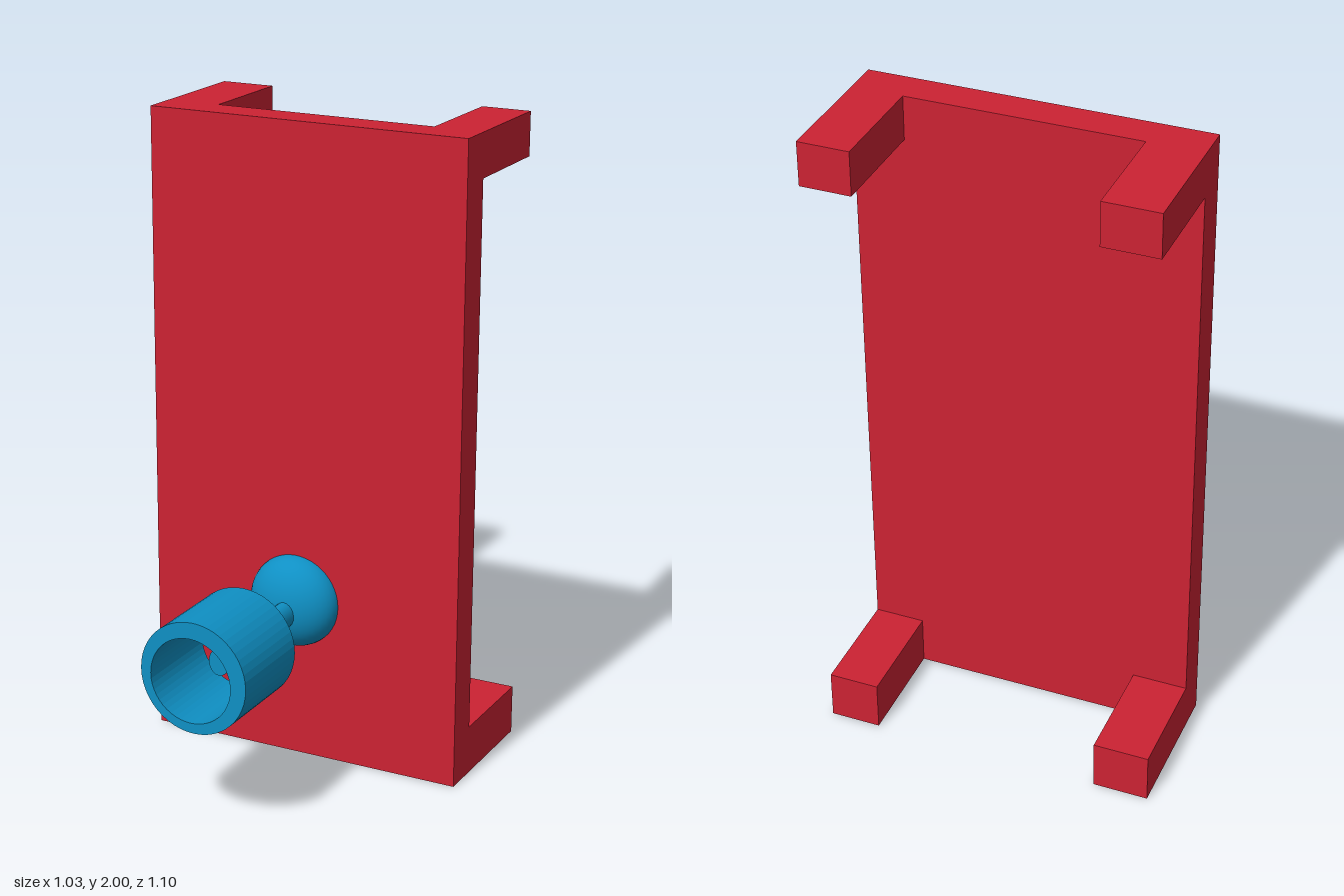
import * as THREE from 'three';

export function createModel() {
  const model = new THREE.Group();
  const red = new THREE.MeshStandardMaterial({ color: 0xcc2233 });
  const blue = new THREE.MeshStandardMaterial({ color: 0x0f90c4 });
  const blueFlat = new THREE.MeshStandardMaterial({ color: 0x0f90c4, flatShading: true });

  function add(name, geometry, material, x, y, z) {
    const mesh = new THREE.Mesh(geometry, material);
    mesh.name = name;
    mesh.position.set(x, y, z);
    model.add(mesh);
    return mesh;
  }

  // Box given by its limits on each axis
  function box(name, [x0, x1], [y0, y1], [z0, z1]) {
    add(name, new THREE.BoxGeometry(x1 - x0, y1 - y0, z1 - z0), red,
      (x0 + x1) / 2, (y0 + y1) / 2, (z0 + z1) / 2);
  }

  // Back plate with a bracket arm at each corner
  box('plate', [-0.515, 0.515], [0, 2], [-0.21, -0.1]);
  for (const [side, xs] of [['Right', [-0.515, -0.345]], ['Left', [0.36, 0.515]]]) {
    box('lower' + side + 'Arm', xs, [0, 0.155], [-0.55, -0.21]);
    box('upper' + side + 'Arm', xs, [1.865, 2], [-0.55, -0.21]);
  }

  // Flattened dome on the plate
  const dome = new THREE.SphereGeometry(1, 40, 24);
  dome.scale(0.146, 0.146, 0.1);
  add('dome', dome, blue, -0.028, 0.512, -0.1);

  // Stem, slightly oval, from the dome into the socket
  const stem = new THREE.CylinderGeometry(1, 1, 0.44, 20);
  stem.rotateX(Math.PI / 2);
  stem.scale(0.033, 0.042, 1);
  add('stem', stem, blue, -0.018, 0.497, 0.18);

  // Socket: a tube open at both ends, its bore slightly off centre
  const ring = new THREE.Shape();
  ring.absarc(0, 0, 0.172, 0, Math.PI * 2);
  const bore = new THREE.Path();
  bore.absarc(-0.009, -0.01, 0.131, 0, Math.PI * 2, true);
  ring.holes.push(bore);
  const socket = new THREE.ExtrudeGeometry(ring, { depth: 0.3, bevelEnabled: false, curveSegments: 24 });
  add('socket', socket, blueFlat, -0.019, 0.504, 0.25);

  return model;
}
